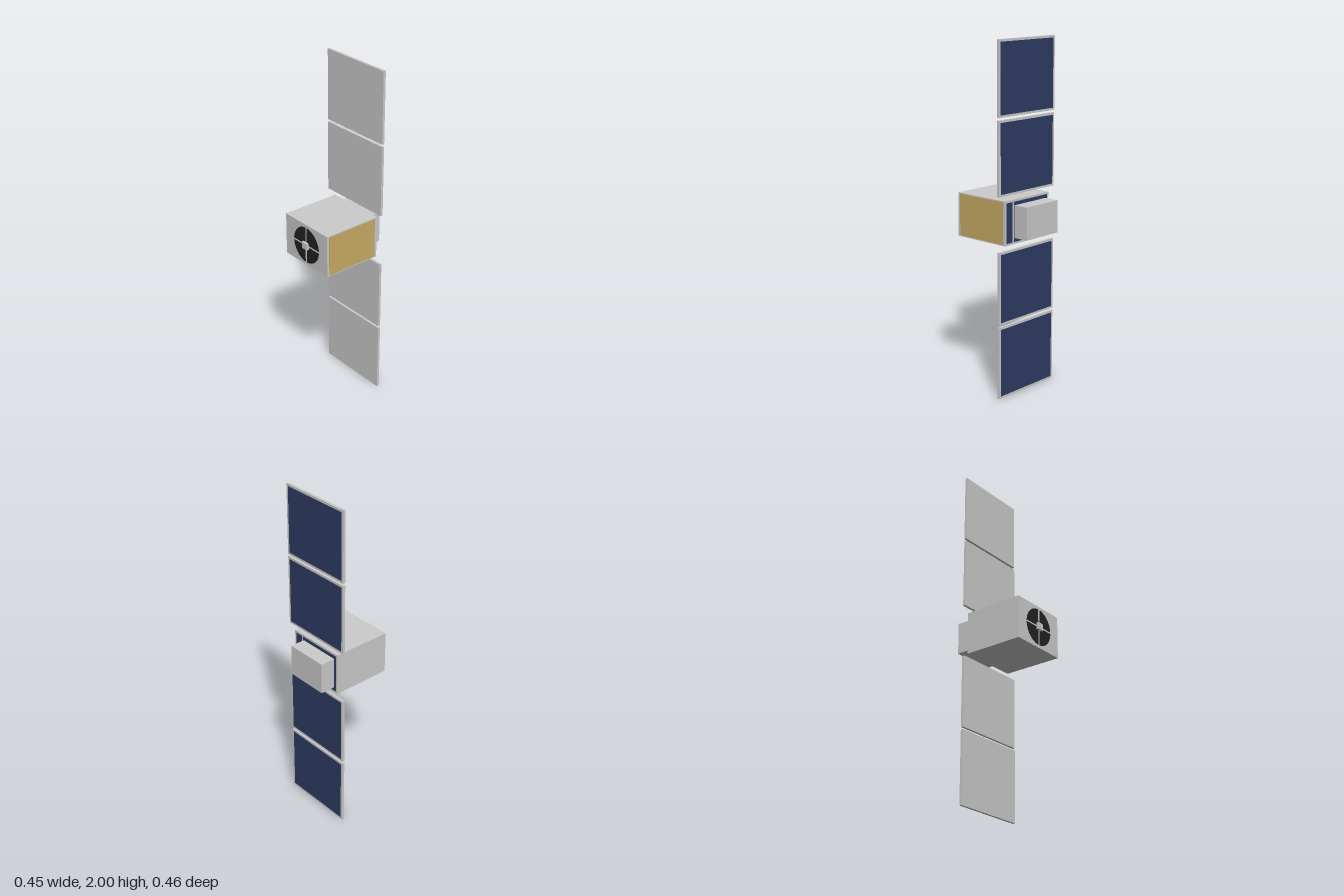
import * as THREE from 'three';

export function createModel() {
  const model = new THREE.Group();
  const mat = (color) => new THREE.MeshStandardMaterial({ color });
  const grey = mat(0xcccccc);
  const gold = mat(0xc9ad66);
  const blue = mat(0x2e3b63);
  const black = mat(0x222222);

  // Box given by its extents along each axis
  function box(name, material, [x0, x1], [y0, y1], [z0, z1], parent = model) {
    const mesh = new THREE.Mesh(new THREE.BoxGeometry(x1 - x0, y1 - y0, z1 - z0), material);
    mesh.position.set((x0 + x1) / 2, (y0 + y1) / 2, (z0 + z1) / 2);
    mesh.name = name;
    parent.add(mesh);
    return mesh;
  }

  // Main body with a gold foil cover on its left side
  const bodyY = [0.877, 1.128];
  box('body', grey, [-0.18, 0.179], bodyY, [-0.142, 0.216]);
  box('foilCover', gold, [0.178, 0.18], [0.883, 1.122], [-0.127, 0.202]);

  // Solar cells on the back of the body, split by a thin divider
  const cellZ = [-0.143, -0.14];
  box('bodyCells', blue, [-0.168, 0.108], [0.889, 1.116], cellZ);
  box('bodyCellsNarrow', blue, [0.118, 0.168], [0.889, 1.116], cellZ);

  // Equipment box on the back
  box('equipmentBox', grey, [-0.155, 0.102], [0.911, 1.096], [-0.233, -0.142]);

  // Four wing panels, each a grey frame with cells on the back
  const wings = [[0, 0.418], [0.432, 0.848], [1.157, 1.573], [1.587, 2]];
  wings.forEach(([y0, y1], i) => {
    const wing = new THREE.Group();
    wing.name = `solarPanel${i + 1}`;
    box('panelFrame', grey, [-0.225, 0.225], [y0, y1], [-0.142, -0.127], wing);
    box('panelCells', blue, [-0.212, 0.212], [y0 + 0.013, y1 - 0.013], cellZ, wing);
    model.add(wing);
  });

  // Telescope aperture with crossed struts and a central hub
  const cy = 1.002;
  const aperture = new THREE.Mesh(new THREE.CylinderGeometry(0.108, 0.108, 0.003, 48), black);
  aperture.rotation.x = Math.PI / 2;
  aperture.position.set(0, cy, 0.2165);
  aperture.name = 'aperture';
  model.add(aperture);
  box('strutHorizontal', grey, [-0.108, 0.108], [cy - 0.004, cy + 0.004], [0.216, 0.22]);
  box('strutVertical', grey, [-0.004, 0.004], [cy - 0.108, cy + 0.108], [0.216, 0.22]);
  box('hub', grey, [-0.022, 0.022], [cy - 0.02, cy + 0.02], [0.216, 0.232]);

  return model;
}
